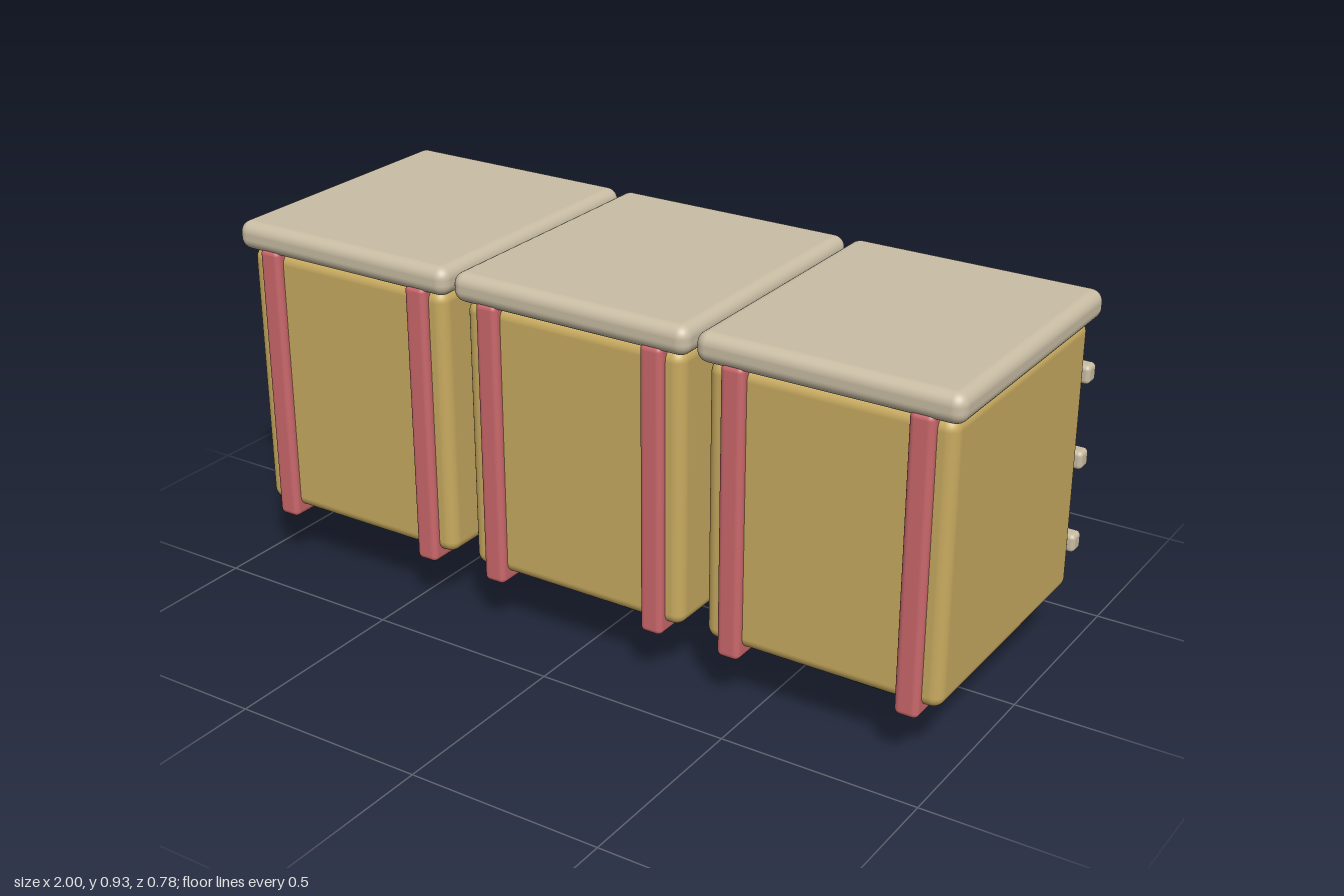
import * as THREE from 'three';
import { RoundedBoxGeometry } from 'three/addons/geometries/RoundedBoxGeometry.js';

const material = (name, color) => {
  const m = new THREE.MeshStandardMaterial({ color });
  m.name = name;
  return m;
};

export function createModel() {
  const gold = material('gold', 0xc9ab60);
  const cream = material('cream', 0xc9bda4);
  const red = material('red', 0xcb686c);
  const slate = material('slate', 0x687a80);

  // Rounded block given by its x, y and z ranges
  const block = (parent, name, mat, [x0, x1], [y0, y1], [z0, z1], radius) => {
    const geo = new RoundedBoxGeometry(x1 - x0, y1 - y0, z1 - z0, 4, radius);
    const mesh = new THREE.Mesh(geo, mat);
    mesh.position.set((x0 + x1) / 2, (y0 + y1) / 2, (z0 + z1) / 2);
    mesh.name = name;
    parent.add(mesh);
  };

  const createCrate = () => {
    const crate = new THREE.Group();
    crate.name = 'crate';

    block(crate, 'body', gold, [-0.304, 0.304], [0.16, 0.862], [-0.332, 0.368], 0.03);
    block(crate, 'lid', cream, [-0.327, 0.327], [0.858, 0.932], [-0.357, 0.391], 0.03);
    block(crate, 'foot', slate, [-0.097, 0.097], [0, 0.175], [-0.096, 0.133], 0.028);

    // Straps run down the front, under the body and up the back
    for (const side of [-1, 1]) {
      const strap = new THREE.Group();
      strap.name = 'strap';
      const x = [side * 0.23 - 0.03, side * 0.23 + 0.03];
      block(strap, 'strapFront', red, x, [0.135, 0.872], [0.345, 0.388], 0.015);
      block(strap, 'strapBottom', red, x, [0.135, 0.178], [-0.35, 0.388], 0.015);
      block(strap, 'strapBack', red, x, [0.135, 0.872], [-0.35, -0.307], 0.015);
      block(strap, 'clip', slate, x, [0.782, 0.89], [-0.389, -0.337], 0.012);
      crate.add(strap);
    }

    // Rails across the back
    for (const y of [0.274, 0.496, 0.717]) {
      block(crate, 'rail', cream, [-0.315, 0.315], [y - 0.024, y + 0.024], [-0.37, -0.325], 0.012);
    }
    // Thin trim above the lowest rail
    block(crate, 'railTrim', gold, [-0.25, 0.25], [0.294, 0.305], [-0.367, -0.357], 0.003);
    return crate;
  };

  const model = new THREE.Group();
  model.name = 'crateRow';
  for (const i of [-1, 0, 1]) {
    const crate = createCrate();
    crate.position.x = i * 0.672;
    model.add(crate);
  }
  return model;
}
